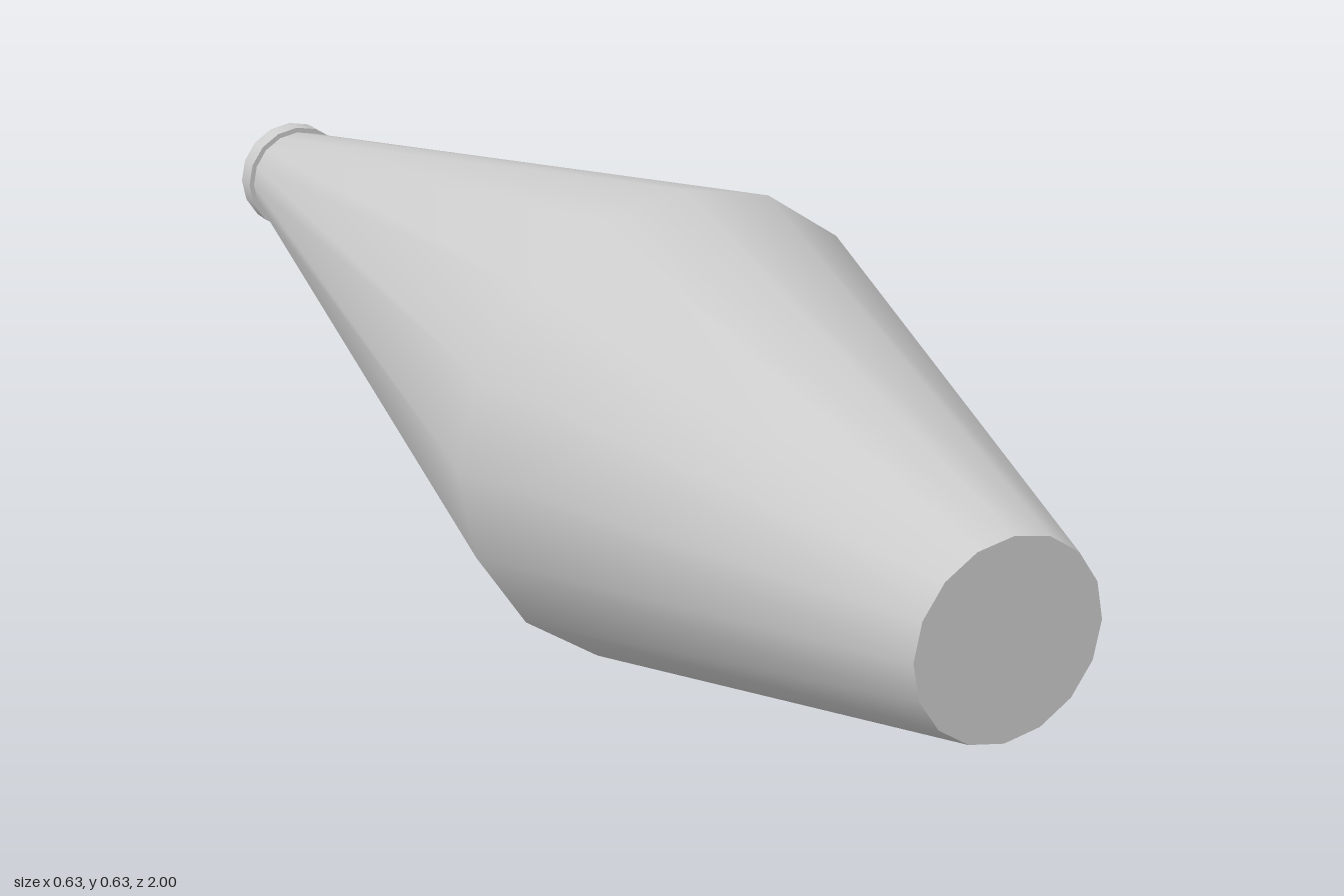
import * as THREE from 'three';
import { toCreasedNormals } from 'three/addons/utils/BufferGeometryUtils.js';

const SIDES = 16;
const AXIS_HEIGHT = 0.315;

export function createModel() {
  const group = new THREE.Group();
  const material = new THREE.MeshStandardMaterial({ color: 0xcccccc });

  // Every part is turned about the z axis
  const addTurned = (name, geometry) => {
    geometry.rotateX(Math.PI / 2);
    const mesh = new THREE.Mesh(geometry, material);
    mesh.name = name;
    mesh.position.y = AXIS_HEIGHT;
    group.add(mesh);
  };

  // Spindle body: long taper to the back, short taper to the front
  const profile = [[0.076, -0.97], [0.315, 0.28], [0.123, 1]]
    .map(([r, z]) => new THREE.Vector2(r, z));
  addTurned('body', toCreasedNormals(new THREE.LatheGeometry(profile, SIDES), 0.6));

  // Flat front end
  const frontCap = new THREE.CircleGeometry(0.123, SIDES, Math.PI / 2);
  frontCap.rotateX(-Math.PI / 2).translate(0, 1, 0);
  addTurned('frontCap', frontCap);

  // Slim collar closing the back end
  const collar = new THREE.CylinderGeometry(0.084, 0.084, 0.032, SIDES);
  collar.translate(0, -0.984, 0);
  addTurned('backCollar', collar);

  return group;
}
